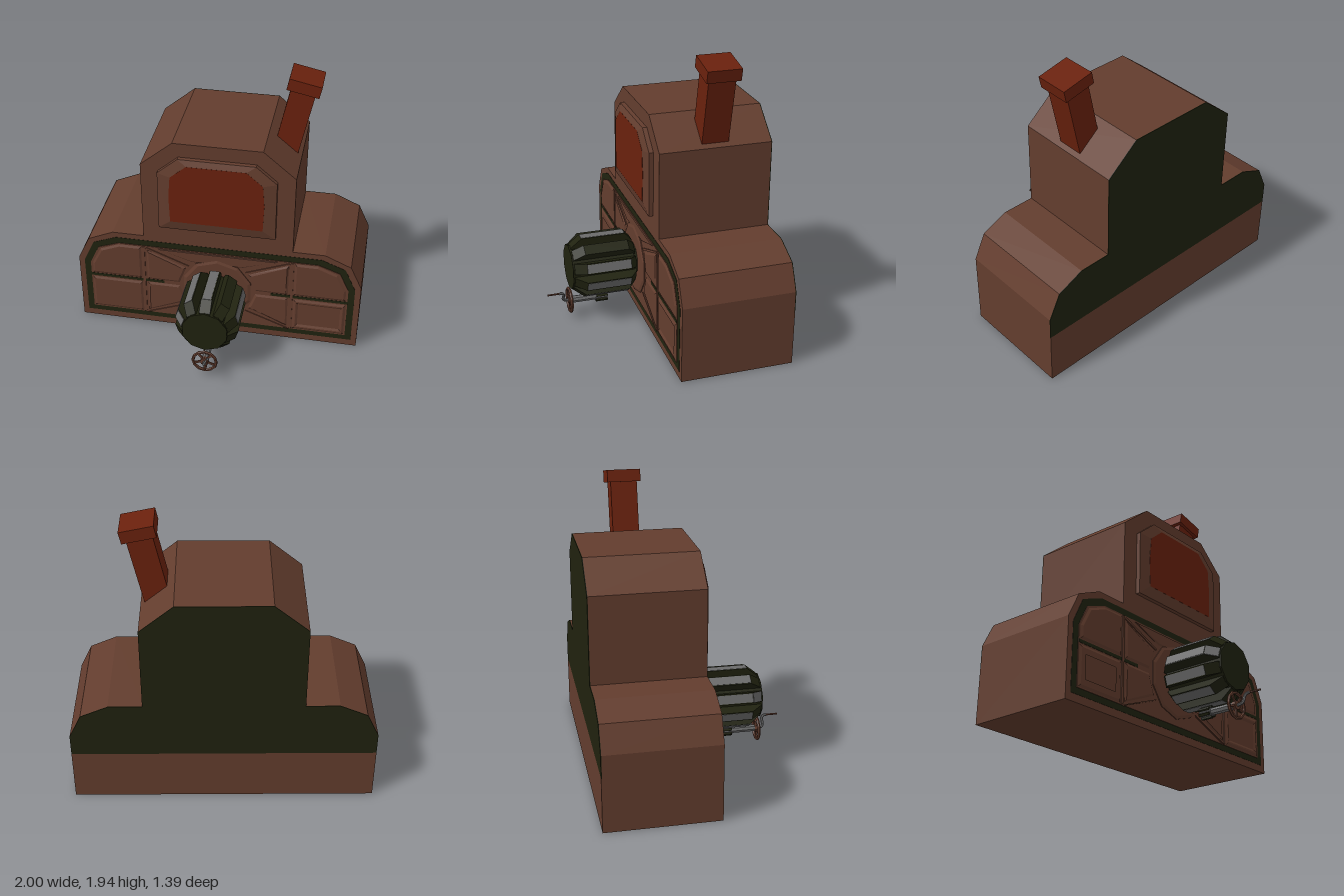
import * as THREE from 'three';

const mat = (name, color) => {
  const m = new THREE.MeshStandardMaterial({ color });
  m.name = name;
  return m;
};

export function createModel() {
  const brown = mat('brown', 0x633d2e);
  const rust = mat('rust', 0x6a210d);
  const dark = mat('darkOlive', 0x20220f);
  const grey = mat('grey', 0x6a6a6a);
  const model = new THREE.Group();

  const add = (name, geo, material, parent = model) => {
    const g = geo.index ? geo.toNonIndexed() : geo;
    g.computeVertexNormals();
    const mesh = new THREE.Mesh(g, material);
    mesh.name = name;
    parent.add(mesh);
    return mesh;
  };
  const vecs = (pts) => pts.map(([x, y]) => new THREE.Vector2(x, y));
  const flip = (pts) => pts.map(([x, y]) => [-x, y]);
  const both = (half) => [...half, ...flip(half).reverse()];
  // Plate from z0 forward, with an optional chamfer that stays inside the outline
  const plate = (name, pts, z0, depth, material, bevel = 0, hole = null) => {
    const shape = new THREE.Shape(vecs(pts));
    if (hole) shape.holes.push(new THREE.Path(vecs(hole)));
    const geo = new THREE.ExtrudeGeometry(shape, {
      depth, bevelEnabled: bevel > 0, bevelSegments: 1, bevelSize: bevel,
      bevelOffset: -bevel, bevelThickness: Math.min(bevel, 0.008),
    });
    return add(name, geo.translate(0, 0, z0), material);
  };
  const rect = (x0, y0, x1, y1) => [[x0, y0], [x1, y0], [x1, y1], [x0, y1]];
  const ngon = (n, r, cx, cy, a0 = 0) => Array.from({ length: n }, (_, i) => {
    const a = a0 + (i / n) * Math.PI * 2;
    return [cx + r * Math.cos(a), cy + r * Math.sin(a)];
  });

  // Body block and dark upper back
  const upper = [[1, 0.52], [0.92, 0.69], [0.74, 0.77], [0.52, 0.77], [0.52, 1.355], [0.3, 1.54]];
  plate('body', both([[1, 0], ...upper]), -0.69, 0.75, brown);
  plate('backPanel', both([[1, 0.37], ...upper]), -0.695, 0.005, dark);
  plate('backSkirt', rect(-1, 0, 1, 0.37), -0.695, 0.005, brown);

  // Front panel: dark border with a brown field inside
  plate('panelBorder', both([[0.96, 0.05], [0.96, 0.5], [0.885, 0.665], [0.72, 0.73]]), 0.058, 0.004, dark);
  plate('panelField', both([[0.915, 0.092], [0.915, 0.49], [0.85, 0.63], [0.7, 0.685]]), 0.058, 0.008, brown);

  // Raised sections of the front panel, mirrored
  for (const side of [1, -1]) {
    const s = (p) => (side > 0 ? p : flip(p));
    plate('panelStripe', s(rect(0.38, 0.375, 0.915, 0.397)), 0.064, 0.004, dark);
    plate('upperPanel', s([[0.54, 0.403], [0.9, 0.403], [0.9, 0.49], [0.835, 0.62], [0.7, 0.675], [0.54, 0.675]]),
      0.064, 0.002, brown, 0.015);
    plate('lowerPanel', s(rect(0.54, 0.1, 0.905, 0.365)), 0.064, 0.002, brown, 0.015, s(rect(0.575, 0.14, 0.87, 0.325)));
    plate('rib', s(rect(0.515, 0.1, 0.533, 0.68)), 0.064, 0.008, brown);
    plate('upperWedge', s([[0.27, 0.4], [0.5, 0.4], [0.5, 0.655], [0.22, 0.535]]), 0.064, 0.002, brown, 0.015);
    plate('lowerWedge', s([[0.27, 0.37], [0.22, 0.235], [0.5, 0.115], [0.5, 0.37]]), 0.064, 0.002, brown, 0.015);
    for (const [y0, y1] of [[0.555, 0.675], [0.215, 0.1]])
      plate('diagonalRib', s([[0.2, y0], [0.5, y1], [0.51, y1 - 0.012], [0.21, y0 - 0.012]]), 0.064, 0.008, brown);
  }
  plate('topWedge', both([[0.18, 0.59], [0.42, 0.675]]), 0.064, 0.001, brown, 0.012);
  plate('hubCollar', ngon(10, 0.25, 0, 0.385, Math.PI / 10), 0.06, 0.012, brown, 0.02);

  // Upper door: sloped frame around a flat rust face
  const outer = both([[0.4, 0.88], [0.4, 1.32], [0.26, 1.44]]);
  const inner = both([[0.315, 0.952], [0.322, 1.15], [0.31, 1.305], [0.2, 1.4]]);
  const innerEdge = both([[0.315, 0.952], [0.31, 1.305], [0.2, 1.4]]);
  plate('doorBase', outer, 0.055, 0.035, brown);
  const slope = [];
  outer.forEach((a, i) => {
    const j = (i + 1) % outer.length;
    const [b, c, d] = [outer[j], innerEdge[j], innerEdge[i]];
    slope.push(...a, 0.09, ...b, 0.09, ...c, 0.108, ...a, 0.09, ...c, 0.108, ...d, 0.108);
  });
  const slopeGeo = new THREE.BufferGeometry();
  slopeGeo.setAttribute('position', new THREE.Float32BufferAttribute(slope, 3));
  add('doorFrame', slopeGeo, brown);
  plate('doorFace', inner, 0.101, 0.008, rust);

  // Drum with ten chamfered staves
  const drum = new THREE.Group();
  drum.name = 'drum';
  drum.position.set(0, 0.385, 0);
  model.add(drum);
  add('drumCore', new THREE.CylinderGeometry(0.158, 0.158, 0.43, 10).rotateX(Math.PI / 2).translate(0, 0, 0.325), dark, drum);
  add('drumAxle', new THREE.CylinderGeometry(0.12, 0.12, 0.08, 10).rotateX(Math.PI / 2).translate(0, 0, 0.09), dark, drum);
  const profile = vecs([[0.1, 0.13], [0.53, 0.13], [0.53, 0.155], [0.455, 0.215], [0.15, 0.215], [0.1, 0.16]]);
  for (let i = 0; i < 10; i++) {
    const stave = new THREE.Group();
    stave.name = 'stave';
    stave.rotation.z = (i * Math.PI) / 5;
    drum.add(stave);
    const geo = new THREE.ExtrudeGeometry(new THREE.Shape(profile), { depth: 0.074, bevelEnabled: false });
    add('staveBar', geo.translate(0, 0, -0.037).rotateY(-Math.PI / 2), dark, stave);
    if (i !== 9) add('stavePlate', new THREE.BoxGeometry(0.06, 0.004, 0.305).translate(0, 0.215, 0.3025), grey, stave);
    if (i === 2) {
      const end = new THREE.BoxGeometry(0.066, 0.004, 0.09);
      add('staveEndPlate', end.rotateX(Math.atan2(0.06, 0.075)).translate(0, 0.186, 0.4935), grey, stave);
    }
  }

  // Hand wheel, shaft and crank below the drum
  const wheel = new THREE.Group();
  wheel.name = 'handWheel';
  wheel.position.set(0, 0.125, 0);
  model.add(wheel);
  add('wheelRim', new THREE.TorusGeometry(0.081, 0.011, 6, 12).translate(0, 0, 0.54), brown, wheel);
  for (let i = 0; i < 5; i++)
    add('wheelSpoke', new THREE.BoxGeometry(0.014, 0.08, 0.01).translate(0, 0.04, 0.54).rotateZ((i * Math.PI * 2) / 5 + 0.6), brown, wheel);
  const rod = (name, r, z0, z1, m) =>
    add(name, new THREE.CylinderGeometry(r, r, z1 - z0, 8).rotateX(Math.PI / 2).translate(0, 0, (z0 + z1) / 2), m, wheel);
  rod('shaft', 0.025, 0.3, 0.535, grey);
  rod('shaftHub', 0.03, 0.525, 0.55, brown);
  rod('shaftCap', 0.03, 0.275, 0.36, grey);
  for (let i = 0; i < 6; i++)
    add('shaftClaw', new THREE.BoxGeometry(0.018, 0.02, 0.08).translate(0, 0.03, 0.315).rotateZ((i * Math.PI) / 3), dark, wheel);
  const crankPath = new THREE.CatmullRomCurve3([[0, 0, 0.54], [0, 0.003, 0.575], [0.006, 0.015, 0.587],
    [0.028, 0.062, 0.587], [0.034, 0.076, 0.6], [0.035, 0.078, 0.62]].map((p) => new THREE.Vector3(...p)));
  add('crankArm', new THREE.TubeGeometry(crankPath, 14, 0.01, 6), grey, wheel);
  add('crankHandle', new THREE.CylinderGeometry(0.007, 0.007, 0.09, 6).rotateX(Math.PI / 2).translate(0.035, 0.078, 0.655), brown, wheel);

  // Leaning chimney
  const chimney = new THREE.Group();
  chimney.name = 'chimney';
  chimney.position.set(0.41, 1.385, -0.318);
  chimney.rotation.z = -0.21;
  model.add(chimney);
  add('stack', new THREE.BoxGeometry(0.165, 0.47, 0.18).translate(0, 0.235, 0), rust, chimney);
  add('cap', new THREE.BoxGeometry(0.218, 0.082, 0.225).translate(0, 0.5, 0), rust, chimney);

  return model;
}
